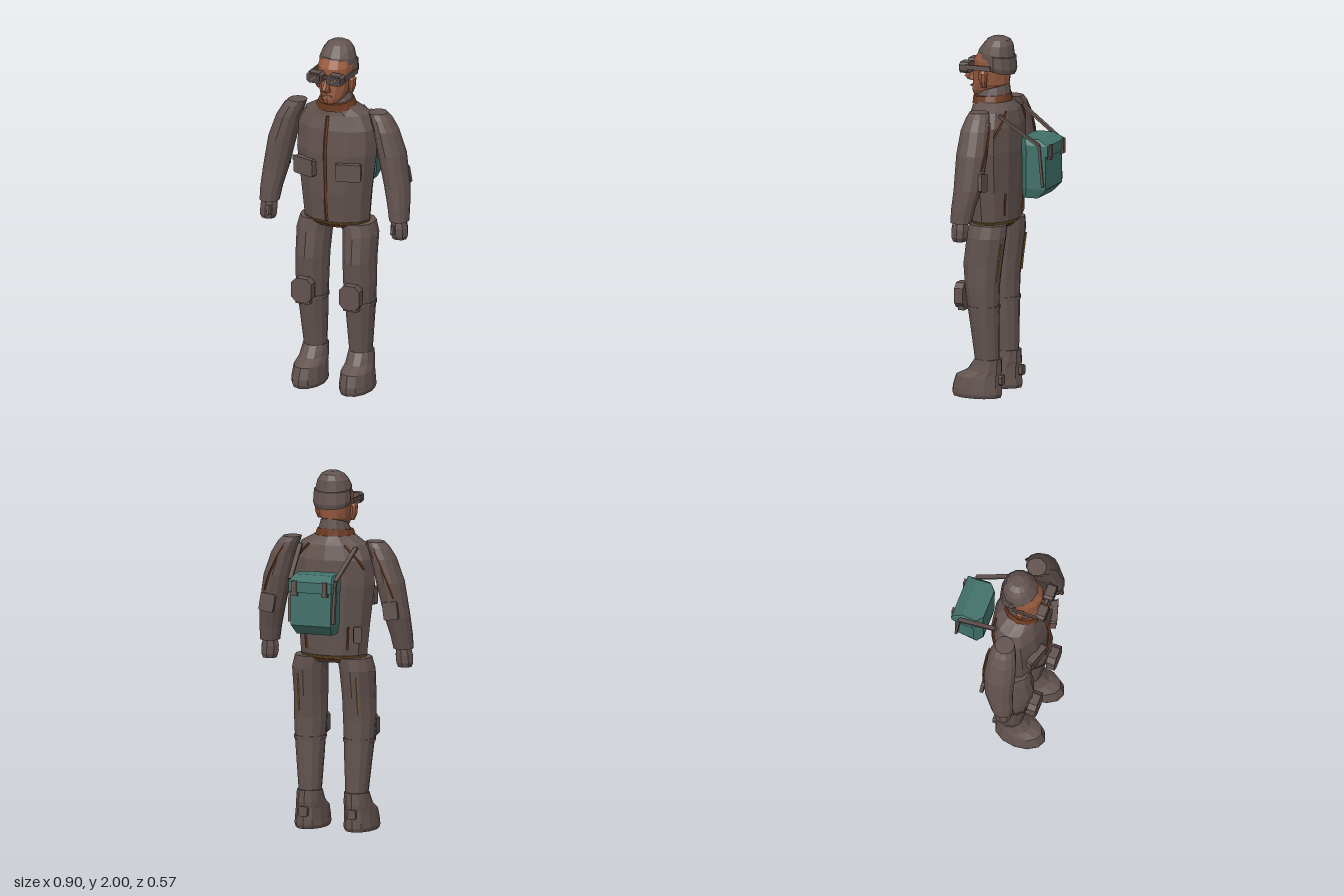
import * as THREE from 'three';

const mat = (name, color, side = THREE.FrontSide) => {
  const m = new THREE.MeshStandardMaterial({ color, flatShading: true, side });
  m.name = name;
  return m;
};

// Rings are [x, z] points on a unit outline, walked from +x to +z.
const round = (n) => Array.from({ length: n }, (_, j) => {
  const a = (j / n) * Math.PI * 2;
  return [Math.cos(a), Math.sin(a)];
});

// Stack of horizontal rings; each section is [y, cx, cz, rx, rz, tilt], rising in y.
function loft(sections, outline = round(12)) {
  const n = outline.length, pos = [], idx = [];
  for (const [y, cx, cz, rx, rz, tilt = 0] of sections)
    for (const [u, v] of outline) pos.push(cx + u * rx, y + v * tilt, cz + v * rz);
  for (let i = 0; i < sections.length - 1; i++)
    for (let j = 0; j < n; j++) {
      const a = i * n + j, b = i * n + ((j + 1) % n);
      idx.push(a, a + n, b, b, a + n, b + n);
    }
  const last = sections.length - 1;
  for (const [i, flip] of [[0, false], [last, true]]) {
    const c = pos.length / 3, [y, cx, cz] = sections[i];
    pos.push(cx, y, cz);
    for (let j = 0; j < n; j++) {
      const a = i * n + j, b = i * n + ((j + 1) % n);
      idx.push(c, ...(flip ? [b, a] : [a, b]));
    }
  }
  const g = new THREE.BufferGeometry();
  g.setAttribute('position', new THREE.Float32BufferAttribute(pos, 3));
  g.setIndex(idx);
  g.computeVertexNormals();
  return g;
}

// Point on a loft's skin at height y and angle a (0 = +x, PI/2 = front).
function skinPoint(sections, y, a, lift = 0.003, side = 1) {
  let i = 0;
  while (i < sections.length - 2 && sections[i + 1][0] < y) i++;
  const p = sections[i], q = sections[i + 1], t = (y - p[0]) / (q[0] - p[0]);
  const [cx, cz, rx, rz] = [1, 2, 3, 4].map((k) => p[k] + (q[k] - p[k]) * t);
  return new THREE.Vector3(side * (cx + Math.cos(a) * (rx + lift)), y, cz + Math.sin(a) * (rz + lift));
}

// Plate with cut corners, facing +z, centred on its origin.
function plate(w, h, d, c) {
  const s = new THREE.Shape(), x = w / 2, y = h / 2;
  s.moveTo(-x + c, -y).lineTo(x - c, -y).lineTo(x, -y + c).lineTo(x, y - c);
  s.lineTo(x - c, y).lineTo(-x + c, y).lineTo(-x, y - c).lineTo(-x, -y + c).closePath();
  return new THREE.ExtrudeGeometry(s, { depth: d, bevelEnabled: false }).translate(0, 0, -d / 2);
}

export function createModel() {
  const root = new THREE.Group();
  root.name = 'traveller';
  const cloth = mat('dark cloth', 0x62534f);
  const leather = mat('brown leather', 0x6b3a22);
  const skin = mat('skin', 0x975a3e);
  const teal = mat('teal canvas', 0x42716a);
  const brass = mat('brass', 0x8a6a30);
  const lens = mat('dark glass', 0x4a4348);
  const lips = mat('lips', 0xa8775c);

  const add = (name, geo, m, x = 0, y = 0, z = 0, rx = 0, ry = 0, rz = 0) => {
    const mesh = new THREE.Mesh(geo, m);
    mesh.name = name;
    mesh.position.set(x, y, z);
    mesh.rotation.set(rx, ry, rz);
    root.add(mesh);
    return mesh;
  };
  const box = (w, h, d) => new THREE.BoxGeometry(w, h, d);
  const seam = (name, pts, m, r = 0.006) =>
    add(name, new THREE.TubeGeometry(new THREE.CatmullRomCurve3(pts), 10, r, 4), m);
  const strap = (name, a, b, w, d) => {
    const mesh = add(name, box(w, d, a.distanceTo(b)), cloth);
    mesh.position.copy(a).lerp(b, 0.5);
    mesh.lookAt(b);
  };
  const back = -Math.PI / 2, front = Math.PI / 2;
  const range = (a, b, f) => [0, 0.2, 0.4, 0.6, 0.8, 1].map((t) => f(a + (b - a) * t, t));

  // Jacket
  const torso = [
    [0.94, 0, 0.09, 0.15, 0.09], [0.985, 0, 0.09, 0.195, 0.13], [1.15, 0, 0.095, 0.21, 0.145],
    [1.38, 0, 0.093, 0.24, 0.155], [1.52, 0, 0.087, 0.235, 0.147], [1.6, 0, 0.085, 0.19, 0.125],
    [1.645, 0, 0.1, 0.11, 0.105],
  ];
  add('jacket', loft(torso), cloth);
  seam('frontZip', range(0.995, 1.6, (y) => skinPoint(torso, y, front, 0.006)), leather, 0.01);
  add('hemLeather', loft([[0.952, 0, 0.09, 0.166, 0.105], [0.966, 0, 0.09, 0.182, 0.12]]), leather);
  add('hemTrim', loft([[0.968, 0, 0.09, 0.184, 0.121], [0.982, 0, 0.09, 0.198, 0.133]]), brass);

  // Collar
  add('collarBand', loft([[1.625, 0, 0.105, 0.12, 0.112], [1.675, 0, 0.108, 0.098, 0.108, -0.01]]), leather);
  add('collarTop', loft([[1.67, 0, 0.1, 0.09, 0.098, -0.01], [1.715, 0, 0.095, 0.075, 0.085, -0.025]]), cloth);

  // Head and face
  add('head', loft([
    [1.672, 0, 0.16, 0.045, 0.06], [1.7, 0, 0.14, 0.067, 0.086], [1.74, 0, 0.115, 0.085, 0.106],
    [1.81, 0, 0.108, 0.098, 0.106], [1.87, 0, 0.105, 0.1, 0.108], [1.92, 0, 0.09, 0.09, 0.09],
  ]), skin);
  add('nose', loft([[1.745, 0, 0.225, 0.022, 0.03], [1.765, 0, 0.24, 0.02, 0.035],
    [1.83, 0, 0.212, 0.01, 0.012]], round(6)), skin);
  add('mouth', box(0.056, 0.009, 0.008), lips, 0, 1.717, 0.224);

  // Cap with a lower neck guard
  add('cap', loft([
    [1.86, 0, 0.083, 0.104, 0.1, 0.045], [1.91, 0, 0.083, 0.102, 0.1, 0.015],
    [1.955, 0, 0.075, 0.088, 0.085], [1.985, 0, 0.07, 0.065, 0.065], [2.0, 0, 0.07, 0.035, 0.035],
  ]), cloth);
  add('neckGuard', loft([[1.815, 0, 0.06, 0.102, 0.082, 0.02], [1.84, 0, 0.058, 0.11, 0.086, 0.02],
    [1.9, 0, 0.06, 0.106, 0.082, 0.01]]), cloth);

  // Goggles
  add('gogglesBridge', box(0.04, 0.014, 0.02), cloth, 0, 1.832, 0.235);
  for (const s of [1, -1]) {
    add('gogglesFrame', plate(0.092, 0.06, 0.05, 0.014), cloth, s * 0.062, 1.828, 0.237);
    add('gogglesLens', plate(0.076, 0.045, 0.006, 0.01), lens, s * 0.062, 1.828, 0.264);
    add('lensGlint', box(0.036, 0.006, 0.004), brass, s * 0.062, 1.828, 0.267, 0, 0, 0.6);
    add('gogglesStrap', box(0.01, 0.026, 0.15), cloth, s * 0.109, 1.835, 0.15, 0, s * -0.03);
    add('ear', loft([[1.725, s * 0.095, 0.12, 0.014, 0.014], [1.76, s * 0.104, 0.122, 0.02, 0.024],
      [1.805, s * 0.105, 0.122, 0.022, 0.027], [1.825, s * 0.1, 0.122, 0.014, 0.016]], round(8)), skin);
  }

  // Backpack
  const packOutline = [[1, 0.45], [0.68, 1], [-0.68, 1], [-1, 0.45], [-0.94, -1], [0.94, -1]];
  add('backpack', loft([[1.13, 0, -0.155, 0.11, 0.05], [1.185, 0, -0.18, 0.125, 0.078],
    [1.43, 0, -0.18, 0.128, 0.076]], packOutline), teal);
  add('backpackFlap', loft([[1.37, 0, -0.188, 0.134, 0.085], [1.43, 0, -0.188, 0.134, 0.086],
    [1.463, 0, -0.158, 0.118, 0.056]], packOutline), teal);

  // Limb profiles for the left side
  const arm = [
    [1.025, 0.395, 0.13, 0.055, 0.06], [1.1, 0.388, 0.12, 0.061, 0.068], [1.21, 0.37, 0.1, 0.071, 0.08],
    [1.4, 0.333, 0.09, 0.078, 0.09], [1.53, 0.295, 0.088, 0.069, 0.082], [1.59, 0.265, 0.085, 0.062, 0.068],
    [1.62, 0.245, 0.085, 0.053, 0.055],
  ];
  const leg = [
    [0.19, 0.138, 0.08, 0.062, 0.068], [0.4, 0.142, 0.093, 0.078, 0.082], [0.5, 0.145, 0.1, 0.085, 0.088],
    [0.62, 0.145, 0.107, 0.092, 0.098], [0.75, 0.143, 0.105, 0.092, 0.112], [0.9, 0.14, 0.085, 0.098, 0.113],
    [0.97, 0.125, 0.08, 0.095, 0.108],
  ];
  const boot = [
    [0, 0.145, 0.138, 0.085, 0.14], [0.02, 0.145, 0.138, 0.092, 0.147], [0.05, 0.145, 0.138, 0.09, 0.146],
    [0.115, 0.143, 0.13, 0.084, 0.134], [0.15, 0.141, 0.095, 0.077, 0.1], [0.215, 0.139, 0.075, 0.07, 0.076],
  ];
  const hand = [
    [0.922, 0.4, 0.135, 0.04, 0.038], [0.945, 0.4, 0.135, 0.05, 0.048],
    [0.99, 0.397, 0.135, 0.051, 0.05], [1.03, 0.395, 0.132, 0.042, 0.045],
  ];

  for (const s of [1, -1]) {
    const mirror = (sections) => sections.map(([y, cx, ...r]) => [y, s * cx, ...r]);
    // Arm with seam, back patch and hand
    add('sleeve', loft(mirror(arm)), cloth);
    add('hand', loft(mirror(hand), round(8)), cloth);
    add('thumb', loft([[0.955, s * 0.378, 0.182, 0.013, 0.012], [1.005, s * 0.38, 0.172, 0.015, 0.016]],
      round(6)), cloth);
    seam('sleeveSeam', range(1.32, 1.57, (y, t) => skinPoint(arm, y, back + 0.45 - t * 0.5, 0.003, s)), leather);
    add('sleevePatch', plate(0.085, 0.1, 0.02, 0.008), cloth, s * 0.365, 1.25, 0.012, 0.05, 0, s * 0.15);

    // Leg with knee pad, cuff and rear piping
    add('trouserLeg', loft(mirror(leg)), cloth);
    add('kneePad', plate(0.12, 0.14, 0.05, 0.028), cloth, s * 0.146, 0.565, 0.225);
    add('kneeStrap', box(0.085, 0.035, 0.035), cloth, s * 0.146, 0.5, 0.217);
    add('kneeBand', loft([[0.495, s * 0.145, 0.1, 0.09, 0.093], [0.515, s * 0.145, 0.1, 0.091, 0.094]]), cloth);
    seam('legPiping', range(0.66, 0.87, (y) => skinPoint(leg, y, back + 0.35, 0.002, s)), brass, 0.005);

    // Boot
    add('boot', loft(mirror(boot)), cloth);
    add('heelTab', plate(0.05, 0.055, 0.02, 0.008), cloth, s * 0.143, 0.1, -0.007);

    // Jacket pocket and back seams
    add('chestPocket', plate(0.14, 0.1, 0.035, 0.008), cloth, s * 0.133, 1.293, 0.228, 0, s * 0.3);
    add('pocketFlap', box(0.144, 0.028, 0.008), cloth, s * 0.139, 1.33, 0.246, 0, s * 0.3);
    seam('shoulderSeam', range(1.605, 1.47, (y, t) => skinPoint(torso, y, back + 0.6 + t * 0.45, 0.004, s)), leather, 0.007);
    seam('waistSeam', range(1.02, 1.15, (y) => skinPoint(torso, y, back + 0.65, 0.003, s)), leather);

    // Pack straps and buckles
    const shoulder = new THREE.Vector3(s * 0.165, 1.59, 0), packTop = new THREE.Vector3(s * 0.134, 1.435, -0.225);
    strap('shoulderStrap', shoulder, packTop, 0.024, 0.014);
    strap('packSideStrap', packTop, new THREE.Vector3(s * 0.13, 1.2, -0.245), 0.016, 0.014);
    add('flapStrap', box(0.026, 0.075, 0.012), cloth, s * 0.09, 1.4, -0.278);
    add('flapBuckle', box(0.04, 0.022, 0.016), cloth, s * 0.09, 1.365, -0.274);
  }
  add('hipPouch', plate(0.045, 0.09, 0.022, 0.006), cloth, -0.185, 1.11, -0.03, 0, 0.5);
  return root;
}
